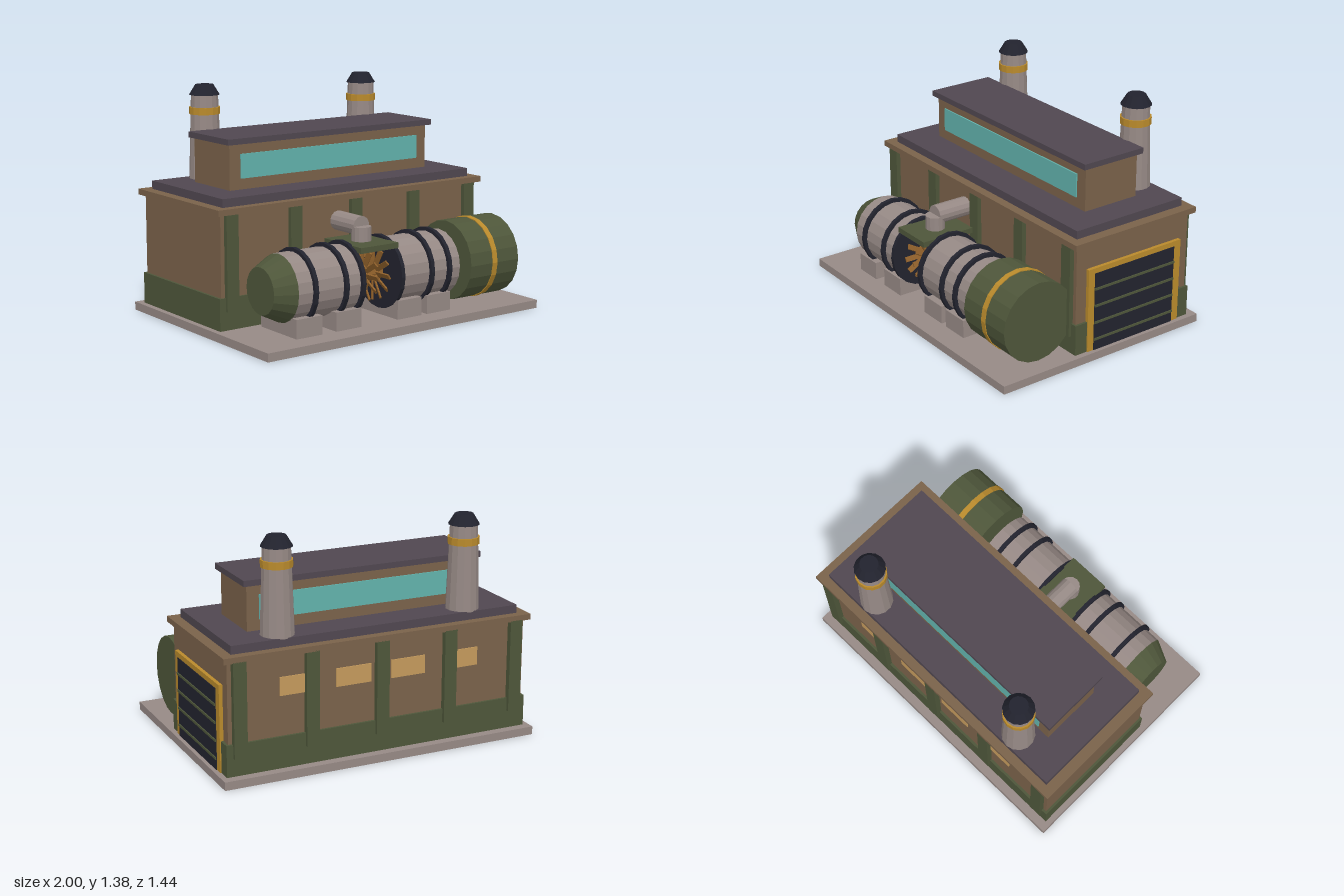
import * as THREE from 'three';

const mat = (name, color) => {
  const m = new THREE.MeshStandardMaterial({ color, flatShading: true });
  m.name = name;
  return m;
};

export function createModel() {
  const brick = mat('brick brown', 0x7a624a);
  const green = mat('olive green', 0x4e563a);
  const steel = mat('warm grey', 0x968985);
  const slate = mat('slate roof', 0x504750);
  const dark = mat('dark iron', 0x22232e);
  const gold = mat('safety gold', 0xb98a2c);
  const teal = mat('teal glass', 0x62b2ac);
  const amber = mat('amber glass', 0xc49a5c);
  const copper = mat('copper', 0x8e5f2a);

  const model = new THREE.Group();
  model.name = 'powerStation';
  const group = (name, parent = model) => {
    const g = new THREE.Group();
    g.name = name;
    parent.add(g);
    return g;
  };

  // Box given by its limits on each axis
  const box = (name, m, [x0, x1], [y0, y1], [z0, z1], parent = model) => {
    const mesh = new THREE.Mesh(new THREE.BoxGeometry(x1 - x0, y1 - y0, z1 - z0), m);
    mesh.position.set((x0 + x1) / 2, (y0 + y1) / 2, (z0 + z1) / 2);
    mesh.name = name;
    parent.add(mesh);
    return mesh;
  };

  // Upright frustum from y0 to y1
  const column = (name, m, r0, r1, y0, y1, x, z, sides, parent = model) => {
    const mesh = new THREE.Mesh(new THREE.CylinderGeometry(r1, r0, y1 - y0, sides), m);
    mesh.position.set(x, (y0 + y1) / 2, z);
    mesh.name = name;
    parent.add(mesh);
    return mesh;
  };

  // Frustum along x on the turbine axis, from x0 to x1
  const AXIS_Y = 0.31, AXIS_Z = 0.405;
  const barrel = (name, m, r0, r1, x0, x1, parent, sides = 20) => {
    const geo = new THREE.CylinderGeometry(r1, r0, x1 - x0, sides).rotateZ(-Math.PI / 2);
    const mesh = new THREE.Mesh(geo, m);
    mesh.position.set((x0 + x1) / 2, AXIS_Y, AXIS_Z);
    mesh.name = name;
    parent.add(mesh);
    return mesh;
  };

  // Ground slab and main hall
  box('baseSlab', steel, [-1, 1], [0, 0.05], [-0.72, 0.72]);
  const hall = group('hall');
  box('walls', brick, [-0.95, 0.95], [0.05, 0.73], [-0.65, 0.18], hall);
  box('plinth', green, [-0.965, 0.965], [0.05, 0.24], [-0.665, 0.19], hall);
  box('cornice', brick, [-0.98, 0.98], [0.72, 0.755], [-0.685, 0.21], hall);
  box('roof', slate, [-0.915, 0.915], [0.755, 0.805], [-0.63, 0.153], hall);
  for (const x of [-0.885, -0.4425, 0, 0.4425, 0.885]) {
    box('frontPilaster', green, [x - 0.04, x + 0.04], [0.16, 0.725], [0.175, 0.208], hall);
    box('backPilaster', green, [x - 0.04, x + 0.04], [0.16, 0.725], [-0.685, -0.645], hall);
  }
  for (const x of [-0.525, -0.175, 0.175, 0.525])
    box('backWindow', amber, [x - 0.11, x + 0.11], [0.48, 0.59], [-0.657, -0.649], hall);

  // Raised roof light
  const monitor = group('roofLight');
  box('roofLightWalls', brick, [-0.735, 0.735], [0.8, 1.08], [-0.43, -0.05], monitor);
  box('roofLightRoof', slate, [-0.76, 0.76], [1.075, 1.11], [-0.455, -0.022], monitor);
  box('frontGlass', teal, [-0.66, 0.66], [0.87, 1.015], [-0.051, -0.042], monitor);
  box('backGlass', teal, [-0.66, 0.66], [0.87, 1.015], [-0.438, -0.429], monitor);

  // Roller door on the +x wall
  const door = group('rollerDoor');
  box('doorFrame', gold, [0.94, 0.972], [0.05, 0.572], [-0.583, 0.107], door);
  box('doorPanel', dark, [0.965, 0.976], [0.05, 0.54], [-0.532, 0.063], door);
  for (const y of [0.12, 0.228, 0.335, 0.442])
    box('doorSlat', green, [0.972, 0.982], [y - 0.007, y + 0.007], [-0.532, 0.063], door);

  // Chimneys
  for (const x of [-0.595, 0.595]) {
    const chimney = group('chimney');
    column('stack', steel, 0.1, 0.082, 0.8, 1.32, x, -0.535, 14, chimney);
    column('stackBand', gold, 0.094, 0.094, 1.197, 1.24, x, -0.535, 14, chimney);
    column('stackCap', dark, 0.093, 0.055, 1.313, 1.375, x, -0.535, 14, chimney);
  }

  // Turbine vessels, end cone and generator drum
  const turbine = group('turbine');
  barrel('endCone', green, 0.138, 0.2, -0.835, -0.71, turbine);
  barrel('leftVessel', steel, 0.2, 0.2, -0.71, -0.265, turbine);
  barrel('rightVessel', steel, 0.2, 0.2, 0.02, 0.47, turbine);
  for (const x of [-0.6, -0.385, -0.265, 0.02, 0.245, 0.38])
    barrel('vesselRing', dark, 0.222, 0.222, x - 0.0125, x + 0.0125, turbine);
  barrel('generatorDrum', green, 0.245, 0.245, 0.522, 0.902, turbine);
  barrel('drumBand', gold, 0.25, 0.25, 0.692, 0.728, turbine);

  // Exposed rotor with three rows of pitched blades
  const rotor = group('rotor', turbine);
  barrel('rotorShaft', copper, 0.045, 0.045, -0.26, 0.015, rotor, 12);
  for (const x of [-0.205, -0.122, -0.04]) {
    for (let i = 0; i < 12; i++) {
      const blade = new THREE.Mesh(
        new THREE.BoxGeometry(0.01, 0.125, 0.032).rotateY(0.5).translate(0, 0.1, 0), copper);
      blade.position.set(x, AXIS_Y, AXIS_Z);
      blade.rotation.x = (i / 12) * Math.PI * 2;
      blade.name = 'rotorBlade';
      rotor.add(blade);
    }
  }
  box('rotorCover', green, [-0.258, 0.014], [0.478, 0.512], [0.228, 0.58], turbine);

  // Saddles under the vessels
  for (const x of [-0.622, -0.345, 0.102, 0.325])
    box('saddle', steel, [x - 0.09, x + 0.09], [0.05, 0.162], [0.23, 0.582], turbine);

  // Steam pipe from the cover to the hall
  const pipe = group('steamPipe');
  column('pipeRiser', steel, 0.059, 0.059, 0.505, 0.597, -0.122, 0.405, 14, pipe);
  const run = new THREE.Mesh(new THREE.CylinderGeometry(0.059, 0.059, 0.235, 14).rotateX(Math.PI / 2), steel);
  run.position.set(-0.122, 0.597, 0.2875);
  run.name = 'pipeRun';
  pipe.add(run);

  return model;
}
